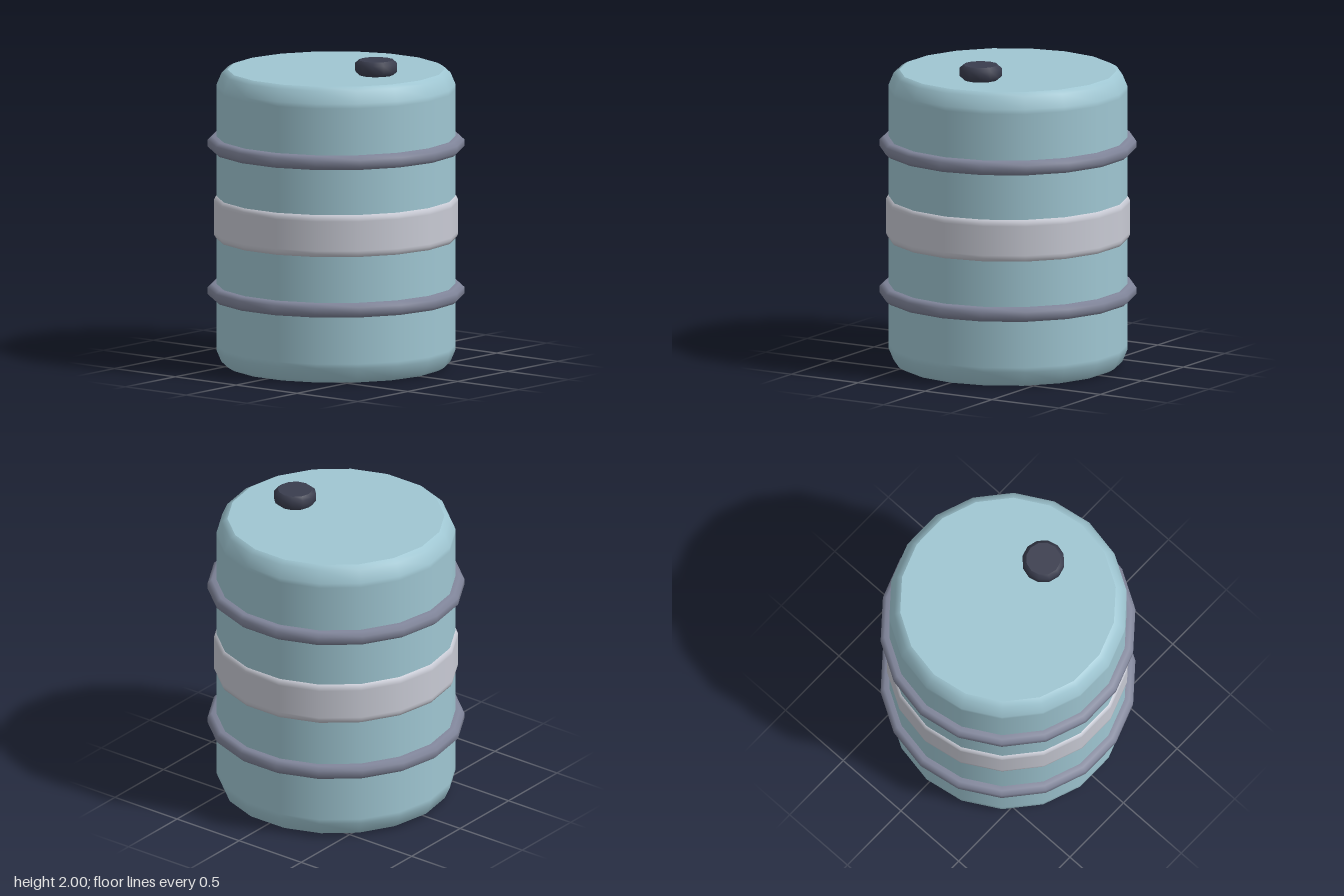
import * as THREE from 'three';
import { mergeGeometries } from 'three/addons/utils/BufferGeometryUtils.js';

const SIDES = 18;

function material(name, color) {
  const m = new THREE.MeshStandardMaterial({ color });
  m.name = name;
  return m;
}

// Revolve a profile of [radius, y] pairs, listed from bottom to top
function lathe(profile, sides = SIDES) {
  const points = profile.map(([r, y]) => new THREE.Vector2(r, y));
  return new THREE.LatheGeometry(points, sides, Math.PI / 2);
}

// Closed drum: smooth wall plus flat end discs with crisp rims
function drum(profile, sides = SIDES) {
  const [r0, y0] = profile[0];
  const [r1, y1] = profile[profile.length - 1];
  return mergeGeometries([
    lathe(profile, sides),
    lathe([[0, y0], [r0, y0]], sides),
    lathe([[r1, y1], [0, y1]], sides),
  ]);
}

export function createModel() {
  const group = new THREE.Group();
  const blue = material('paleBlue', 0x9fc6d2);
  const steel = material('steelGrey', 0x80859a);
  const pale = material('lightGrey', 0xc8cad4);
  const dark = material('darkSlate', 0x3a3d4e);

  const add = (name, geometry, mat, x = 0, y = 0) => {
    const mesh = new THREE.Mesh(geometry, mat);
    mesh.name = name;
    mesh.position.set(x, y, 0);
    group.add(mesh);
  };

  // Barrel body with rounded rims
  add('barrelBody', drum([
    [0.69, 0], [0.727, 0.022], [0.76, 0.1], [0.76, 0.13],
    [0.76, 1.775], [0.76, 1.805], [0.727, 1.883], [0.69, 1.905],
  ]), blue);

  // Two rolling hoops
  const hoop = lathe([
    [0.74, -0.045], [0.79, -0.045], [0.815, -0.022],
    [0.815, 0.022], [0.79, 0.045], [0.74, 0.045],
  ]);
  add('lowerHoop', hoop, steel, 0, 0.48);
  add('upperHoop', hoop, steel, 0, 1.43);

  // Wide label band round the middle
  add('labelBand', lathe([
    [0.745, 0.82], [0.763, 0.82], [0.775, 0.842], [0.775, 0.86],
    [0.775, 1.05], [0.775, 1.068], [0.763, 1.09], [0.745, 1.09],
  ]), pale);

  // Filler cap on the lid
  add('fillerCap', drum([
    [0.11, 0], [0.135, 0.022], [0.135, 0.073], [0.11, 0.095],
  ], 12), dark, 0.33, 1.905);

  return group;
}
